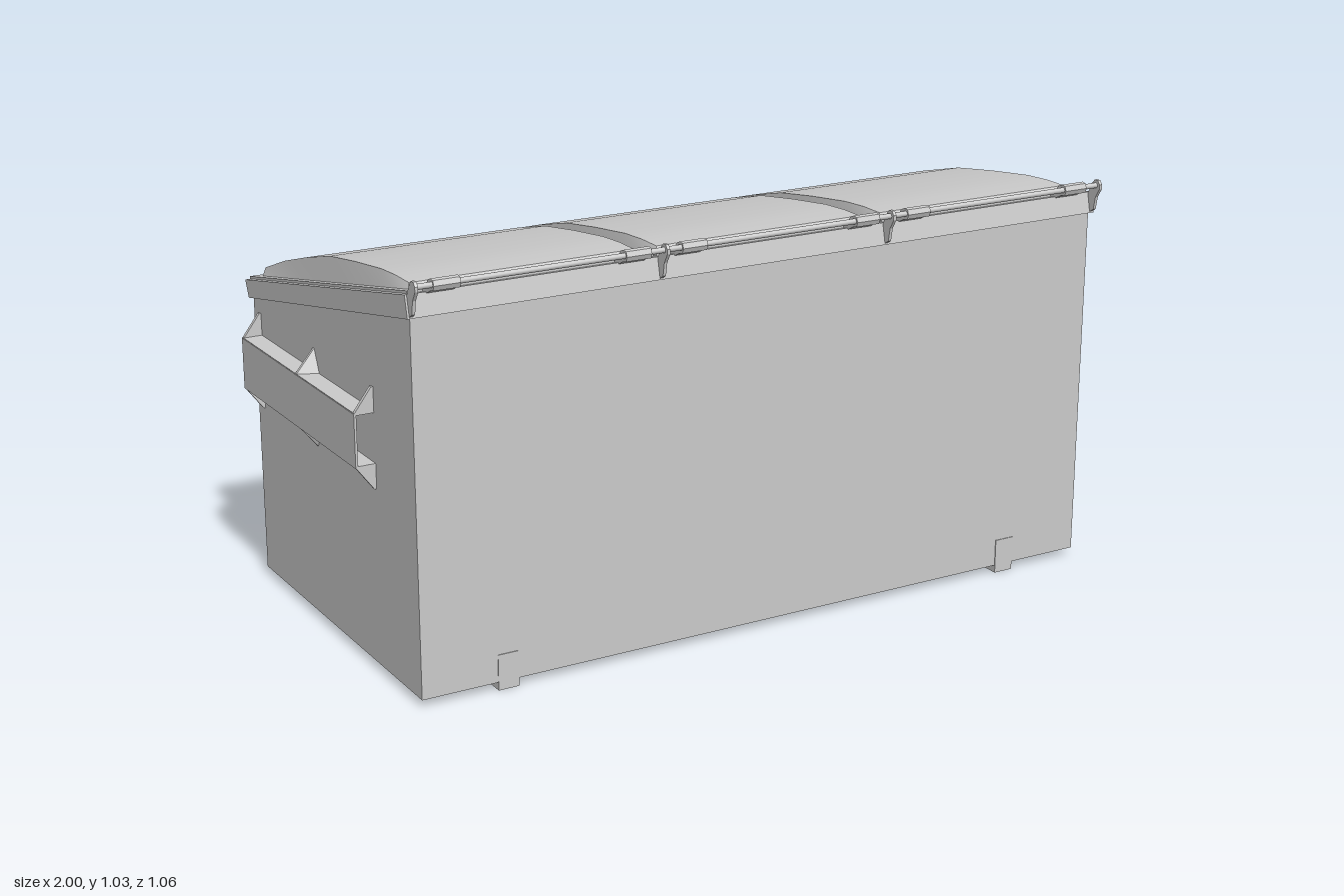
import * as THREE from 'three';
import { toCreasedNormals } from 'three/addons/utils/BufferGeometryUtils.js';
import { ConvexGeometry } from 'three/addons/geometries/ConvexGeometry.js';

const SLOPE = 0.204;
const lidY = z => 0.894 + SLOPE * z; // sloping plane the lids rest on

export function createModel() {
  const root = new THREE.Group();
  const mat = new THREE.MeshStandardMaterial({ color: 0xcccccc });

  function add(name, geo, x = 0, y = 0, z = 0) {
    const m = new THREE.Mesh(geo, mat);
    m.name = name;
    m.position.set(x, y, z);
    root.add(m);
    return m;
  }
  const box = (name, w, h, d, x, y, z) => add(name, new THREE.BoxGeometry(w, h, d), x, y, z);

  // Side profile of (z, y) points extruded along x, centred on x
  function profile(name, pts, width, x = 0) {
    const shape = new THREE.Shape(pts.map(p => new THREE.Vector2(...p)));
    const geo = new THREE.ExtrudeGeometry(shape, { depth: width, bevelEnabled: false });
    geo.translate(0, 0, -width / 2).rotateY(-Math.PI / 2);
    return add(name, geo, x);
  }

  // Bin body and the sloping rim around its mouth
  profile('body', [[0.485, 0.02], [0.485, 0.96], [-0.47, 0.77], [-0.47, 0.02]], 1.9);
  profile('rim', [[0.495, 0.94], [0.483, 0.993], [-0.497, 0.793], [-0.478, 0.75]], 1.92);

  // Thin lid flange with a handle tab on its lower edge
  function flangeGeometry(hw) {
    const plan = [[-hw, 0.465], [-hw, -0.5], [-0.1, -0.5], [-0.07, -0.505], [-0.045, -0.528],
      [0.045, -0.528], [0.07, -0.505], [0.1, -0.5], [hw, -0.5], [hw, 0.465]];
    const shape = new THREE.Shape(plan.map(([x, z]) => new THREE.Vector2(x, -z)));
    const geo = new THREE.ExtrudeGeometry(shape, { depth: 0.007, bevelEnabled: false });
    geo.rotateX(-Math.PI / 2);
    const p = geo.attributes.position;
    for (let i = 0; i < p.count; i++) p.setY(i, p.getY(i) + lidY(p.getZ(i)));
    geo.computeVertexNormals();
    return geo;
  }

  // Domed lid panel: cross-sections from the hinge side to the low side
  function domeGeometry(hw) {
    const rows = [[0.437, null], [0.42, 1.0], [0.35, 1.001], [0.27, 0.997], [0.12, 0.979],
      [-0.03, 0.957], [-0.18, 0.919], [-0.32, 0.878], [-0.455, 0.829], [-0.467, null]];
    const pos = [], idx = [];
    rows.forEach(([z, top], i) => {
      const base = lidY(z) + 0.004, y = top ?? base;
      pos.push(-hw, base, z, -hw + 0.01, y, z, hw - 0.01, y, z, hw, base, z);
      if (i === rows.length - 1) return;
      for (let j = 0; j < 3; j++) {
        const a = i * 4 + j;
        idx.push(a, a + 1, a + 5, a, a + 5, a + 4);
      }
    });
    const geo = new THREE.BufferGeometry();
    geo.setAttribute('position', new THREE.Float32BufferAttribute(pos, 3));
    geo.setIndex(idx);
    return toCreasedNormals(geo, 0.4);
  }

  // Three lids, each with two hinge arms hooked over the rod
  const armProfile = [[0.43, 0.985], [0.43, 0.992], [0.475, 1.0], [0.495, 1.024], [0.508, 1.029],
    [0.52, 1.027], [0.525, 1.015], [0.52, 1.003], [0.505, 1.0], [0.485, 0.99]];
  for (const x of [-0.633, 0, 0.633]) {
    add('lidFlange', flangeGeometry(0.313), x);
    add('lidDome', domeGeometry(0.297), x);
    for (const s of [-1, 1]) profile('hingeArm', armProfile, 0.066, x + s * 0.242);
  }

  // Hinge rod and the brackets that carry it
  const rod = new THREE.CylinderGeometry(0.007, 0.007, 1.91, 12).rotateZ(Math.PI / 2);
  add('hingeRod', rod, 0, 1.016, 0.513);
  const bracket = [[0.493, 0.943], [0.508, 0.952], [0.514, 0.985], [0.528, 1.008], [0.528, 1.02],
    [0.52, 1.03], [0.508, 1.03], [0.499, 1.02], [0.483, 0.99]].reverse();
  for (const x of [-0.951, -0.316, 0.316, 0.951]) profile('hingeBracket', bracket, 0.008, x);

  // Fork sleeves: open-ended tubes braced by gussets above and below
  const V = (x, y, z) => new THREE.Vector3(x, y, z);
  for (const s of [-1, 1]) {
    const zMid = -0.084, len = 0.702;
    box('sleeveOuterPlate', 0.006, 0.132, len, s * 0.997, 0.595, zMid);
    for (const [edge, tip] of [[0.66, 0.72], [0.53, 0.47]]) {
      box('sleevePlate', 0.05, 0.006, len, s * 0.974, edge, zMid);
      for (const z of [0.262, -0.43]) {
        const pts = [];
        for (const d of [-0.005, 0.005])
          pts.push(V(s * 0.949, edge, z + d), V(s, edge, z + d), V(s * 0.955, tip, z + d), V(s * 0.949, tip, z + d));
        add('endGusset', new ConvexGeometry(pts));
      }
      add('middleGusset', new ConvexGeometry([
        V(s * 0.949, edge, zMid - 0.032), V(s * 0.949, edge, zMid + 0.032),
        V(s, edge, zMid - 0.004), V(s, edge, zMid + 0.004),
        V(s * 0.95, tip, zMid - 0.004), V(s * 0.95, tip, zMid + 0.004),
      ]));
    }
  }

  // Feet: pads under the floor with an upright tab on the wall
  for (const x of [-0.727, 0.723]) {
    for (const [z, dir] of [[0.487, 1], [-0.472, -1]]) {
      box('footPad', 0.054, 0.022, 0.05, x, 0.011, z - dir * 0.025);
      box('footTab', 0.054, 0.09, 0.004, x, 0.045, z - dir * 0.002);
    }
  }
  return root;
}
